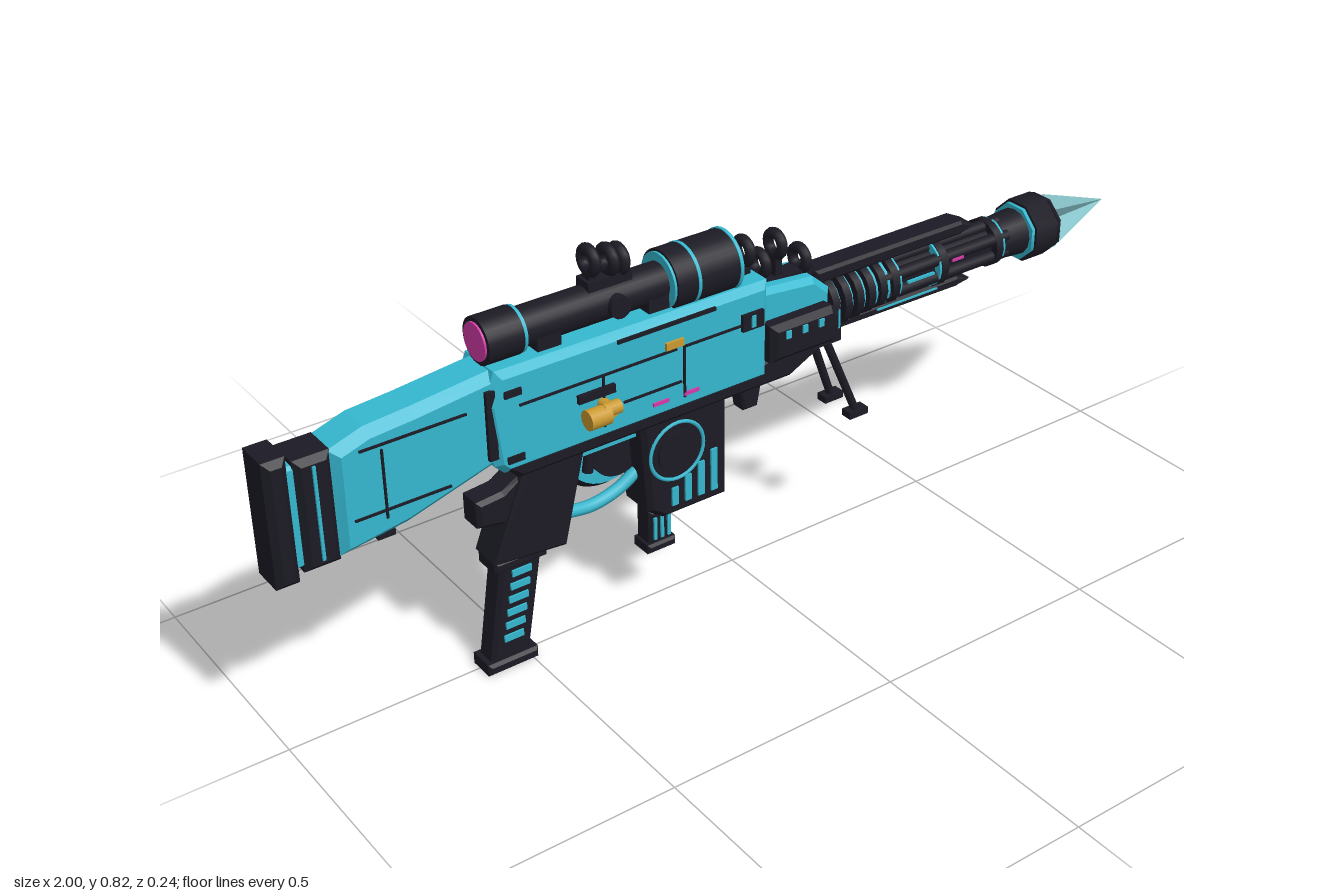
import * as THREE from 'three';
import { toCreasedNormals } from 'three/addons/utils/BufferGeometryUtils.js';

const makeMat = (name, color) => Object.assign(new THREE.MeshStandardMaterial({ color }), { name });

export function createModel() {
  const teal = makeMat('teal shell', 0x35b8cf), black = makeMat('dark polymer', 0x1c1b25);
  const gold = makeMat('gold', 0xcb9a30), pink = makeMat('magenta glass', 0xd43aa8);
  const crystal = makeMat('pale crystal', 0x88c6cc);
  const root = new THREE.Group();
  root.name = 'rifle';
  const CZ = 0.006; // centre plane of the rifle

  function add(name, geo, mat, x = 0, y = 0, z = CZ) {
    const m = new THREE.Mesh(geo, mat);
    m.name = name;
    m.position.set(x, y, z);
    root.add(m);
    return m;
  }
  // Box given by its limits in x and y, and its centre and depth in z
  const box = (name, mat, x0, x1, y0, y1, depth, z = 0) =>
    add(name, new THREE.BoxGeometry(x1 - x0, y1 - y0, depth), mat, (x0 + x1) / 2, (y0 + y1) / 2, z + CZ);
  // Side profile with bevelled edges, half is the half width
  function slab(name, mat, pts, half, bevel = 0.012, z = 0) {
    const shape = new THREE.Shape(pts.map(p => new THREE.Vector2(...p)));
    const geo = new THREE.ExtrudeGeometry(shape, {
      depth: 2 * (half - bevel), bevelEnabled: true, bevelSize: bevel, bevelThickness: bevel,
      bevelOffset: -bevel, bevelSegments: 1 });
    geo.translate(0, 0, bevel - half);
    return add(name, geo, mat, 0, 0, z + CZ);
  }
  const rect = (x0, x1, y0, y1) => [[x0, y0], [x1, y0], [x1, y1], [x0, y1]];
  // Round part along x
  function rod(name, mat, x0, x1, r0, r1, y, z = 0, sides = 24) {
    const geo = new THREE.CylinderGeometry(r1, r0, x1 - x0, sides).rotateZ(-Math.PI / 2);
    return add(name, geo, mat, (x0 + x1) / 2, y, z + CZ);
  }
  // Round part along z
  function disc(name, mat, x, y, z, r, depth, sides = 32) {
    return add(name, new THREE.CylinderGeometry(r, r, depth, sides).rotateX(Math.PI / 2), mat, x, y, z + CZ);
  }
  // Thin painted strip on both sides
  const decal = (name, mat, x0, x1, y0, y1, half) =>
    [-1, 1].forEach(s => box(name, mat, x0, x1, y0, y1, 0.006, s * (half + 0.001)));
  function bar(name, mat, a, b, r) {
    const curve = new THREE.LineCurve3(new THREE.Vector3(...a), new THREE.Vector3(...b));
    return add(name, new THREE.TubeGeometry(curve, 1, r, 8), mat);
  }

  // Stock and butt pad
  slab('buttPad', black, rect(-1, -0.955, 0.375, 0.63), 0.045);
  slab('buttCore', teal, rect(-0.965, -0.93, 0.40, 0.605), 0.034, 0.006);
  slab('buttPlate', black, rect(-0.945, -0.875, 0.39, 0.615), 0.045);
  decal('buttStripe', teal, -0.915, -0.909, 0.41, 0.60, 0.045);
  slab('stock', teal, [[-0.88, 0.395], [-0.74, 0.415], [-0.55, 0.47], [-0.55, 0.66], [-0.72, 0.642],
    [-0.81, 0.635], [-0.88, 0.612]], 0.05, 0.018);
  decal('stockSeam', black, -0.83, -0.62, 0.598, 0.602, 0.05);
  decal('stockSeamLower', black, -0.85, -0.66, 0.465, 0.469, 0.05);
  decal('stockJoint', black, -0.79, -0.786, 0.45, 0.59, 0.05);
  box('stockToe', black, -0.80, -0.765, 0.395, 0.412, 0.06);

  // Receiver
  slab('receiver', teal, [[-0.57, 0.47], [-0.55, 0.45], [0.04, 0.45], [0.04, 0.66], [-0.56, 0.662],
    [-0.585, 0.60]], 0.062, 0.014);
  slab('receiverFront', teal, [[0.0, 0.50], [0.2, 0.50], [0.2, 0.59], [0.16, 0.625], [0.0, 0.64]], 0.05, 0.012);
  slab('lowerFrame', black, [[-0.56, 0.47], [-0.52, 0.43], [0.10, 0.43], [0.18, 0.47], [0.17, 0.49],
    [0.03, 0.49], [0.0, 0.475]], 0.058, 0.01);
  box('rearBand', black, -0.583, -0.565, 0.49, 0.63, 0.118);
  decal('topSeam', black, -0.31, -0.09, 0.641, 0.648, 0.062);
  decal('middleSeam', black, -0.52, -0.18, 0.586, 0.590, 0.062);
  decal('panelTop', black, -0.16, 0.02, 0.586, 0.590, 0.062);
  decal('panelEdge', black, -0.165, -0.161, 0.48, 0.59, 0.062);
  decal('panelEdge', black, -0.345, -0.341, 0.48, 0.586, 0.062);
  decal('panelLower', black, -0.30, -0.17, 0.514, 0.518, 0.062);
  for (const y of [0.475, 0.61]) decal('cornerPin', black, -0.55, -0.515, y, y + 0.014, 0.062);
  for (const x of [-0.235, -0.165]) decal('warningMark', pink, x, x + 0.035, 0.483, 0.490, 0.062);
  decal('goldTab', gold, -0.205, -0.165, 0.593, 0.608, 0.064);

  // Charging handle
  disc('handleStem', gold, -0.345, 0.53, 0.075, 0.012, 0.05, 16);
  rod('handleKnob', gold, -0.40, -0.355, 0.02, 0.02, 0.527, 0.094, 16);
  rod('handleKnobFront', gold, -0.365, -0.33, 0.014, 0.014, 0.535, 0.094, 16);
  box('handleSlot', black, -0.40, -0.32, 0.548, 0.565, 0.012, 0.064);

  // Telescopic sight
  const Y = 0.703;
  rod('scopeTube', black, -0.50, -0.16, 0.038, 0.038, Y);
  rod('scopeEyepiece', black, -0.563, -0.49, 0.046, 0.046, Y);
  rod('scopeBell', black, -0.17, -0.022, 0.06, 0.06, Y, 0, 32);
  for (const [x, r] of [[-0.49, 0.045], [-0.175, 0.055], [-0.125, 0.0612], [-0.029, 0.062]])
    rod('scopeRing', teal, x, x + 0.007, r, r, Y, 0, 32);
  rod('frontLens', pink, -0.03, -0.018, 0.055, 0.055, Y, 0, 32);
  rod('rearLens', pink, -0.567, -0.56, 0.037, 0.037, Y);
  for (const x of [-0.46, -0.22]) box('scopeMount', black, x, x + 0.05, 0.65, 0.71, 0.07);
  disc('scopeDial', black, -0.29, Y, 0, 0.022, 0.10, 16);

  // Ring sights
  function ringSight(x, y, foot, r = 0.022) {
    const geo = new THREE.TorusGeometry(r, 0.011, 10, 20).rotateY(Math.PI / 2);
    add('ringSight', geo, black, x, y);
    box('ringSightPost', black, x - 0.008, x + 0.008, foot, y - r, 0.024);
  }
  ringSight(-0.325, 0.79, 0.73);
  ringSight(-0.285, 0.78, 0.73);
  ringSight(-0.262, 0.775, 0.73);
  ringSight(0.022, 0.706, 0.63);
  ringSight(0.06, 0.668, 0.61);
  ringSight(0.098, 0.698, 0.61);
  ringSight(0.158, 0.65, 0.60);
  box('sightRail', black, -0.34, -0.245, 0.735, 0.755, 0.04);
  box('frontSightRail', black, 0.01, 0.18, 0.618, 0.634, 0.04);

  // Fore block with cooling windows
  slab('foreBlock', black, [[0.03, 0.49], [0.18, 0.49], [0.20, 0.51], [0.20, 0.555], [0.18, 0.57], [0.03, 0.57]],
    0.085, 0.012);
  for (const s of [-1, 1]) {
    box('foreBlockTrim', teal, 0.195, 0.204, 0.512, 0.552, 0.012, s * 0.068);
    box('sideLug', black, -0.03, 0.02, 0.575, 0.61, 0.014, s * 0.062);
    box('sideLugTrim', teal, -0.01, 0.0, 0.58, 0.605, 0.006, s * 0.068);
  }
  for (let i = 0; i < 3; i++) decal('foreWindow', teal, 0.06 + i * 0.04, 0.072 + i * 0.04, 0.54, 0.556, 0.085);

  // Barrel collars, barrel cluster and rails
  const B = 0.54;
  rod('barrelCore', black, 0.18, 0.76, 0.034, 0.034, B);
  for (let i = 0; i < 5; i++) {
    const x = 0.2 + i * 0.032;
    rod('collar', black, x, x + 0.017, 0.06 - i * 0.002, 0.06 - i * 0.002, B, 0, 16);
    rod('collarGap', teal, x + 0.017, x + 0.025, 0.05, 0.05, B, 0, 16);
  }
  for (let i = 0; i < 6; i++) {
    const a = (i + 0.5) * Math.PI / 3;
    rod('barrelTube', black, 0.33, 0.68, 0.014, 0.014, B + 0.037 * Math.sin(a), 0.037 * Math.cos(a), 10);
  }
  for (const x of [0.36, 0.49, 0.64]) rod('barrelBand', black, x, x + 0.018, 0.052, 0.052, B, 0, 16);
  for (const x of [0.379, 0.485, 0.66]) rod('barrelBandTrim', teal, x, x + 0.005, 0.05, 0.05, B, 0, 16);
  decal('barrelSlit', teal, 0.40, 0.47, 0.538, 0.543, 0.046);
  decal('barrelMark', pink, 0.52, 0.55, 0.55, 0.556, 0.044);
  slab('topRail', black, [[0.18, 0.592], [0.56, 0.592], [0.595, 0.605], [0.56, 0.622], [0.18, 0.622]], 0.028, 0.006);
  slab('bottomRail', black, [[0.19, 0.475], [0.56, 0.472], [0.595, 0.481], [0.56, 0.494], [0.19, 0.494]], 0.024, 0.005);
  decal('bottomRailLine', teal, 0.34, 0.5, 0.486, 0.489, 0.024);

  // Muzzle and crystal spike
  rod('muzzleNeck', black, 0.67, 0.75, 0.046, 0.052, B, 0, 16);
  const turn = m => (m.rotation.x = Math.PI / 8, m);
  turn(rod('muzzle', black, 0.74, 0.80, 0.068, 0.068, B, 0, 8));
  turn(rod('muzzleTrim', teal, 0.732, 0.742, 0.062, 0.062, B, 0, 8));
  turn(rod('muzzleTrimFront', teal, 0.798, 0.804, 0.063, 0.063, B, 0, 8));
  turn(rod('muzzleLip', black, 0.803, 0.812, 0.066, 0.064, B, 0, 8));
  let spike = new THREE.ConeGeometry(0.063, 0.185, 16, 1);
  const p = spike.attributes.position;
  for (let i = 0; i < p.count; i++) { // pull every second corner in to make a star
    const k = Math.round(Math.atan2(p.getX(i), p.getZ(i)) / (Math.PI / 8));
    if (k % 2) p.setXYZ(i, p.getX(i) * 0.42, p.getY(i), p.getZ(i) * 0.42);
  }
  spike = toCreasedNormals(spike.rotateZ(-Math.PI / 2), 0.1);
  add('crystalSpike', spike, crystal, 0.9045, B);

  // Pistol grip
  slab('gripFrame', black, [[-0.50, 0.44], [-0.37, 0.44], [-0.42, 0.235], [-0.575, 0.25]], 0.045, 0.01);
  slab('grip', black, [[-0.555, 0.25], [-0.465, 0.25], [-0.505, 0.02], [-0.59, 0.02]], 0.027, 0.008);
  slab('gripFoot', black, rect(-0.60, -0.49, 0.0, 0.025), 0.033, 0.006);
  slab('gripCollar', black, rect(-0.573, -0.46, 0.225, 0.25), 0.034, 0.006);
  for (let i = 0; i < 6; i++) {
    const y = 0.065 + i * 0.028, x = -0.545 + (y - 0.065) * 0.18;
    decal('gripSlot', teal, x - 0.017, x + 0.025, y, y + 0.014, 0.027);
  }
  slab('gripSpur', black, [[-0.60, 0.335], [-0.52, 0.32], [-0.50, 0.42], [-0.545, 0.395], [-0.60, 0.39]], 0.03, 0.008);

  // Trigger and guard
  const guard = new THREE.CatmullRomCurve3([[-0.405, 0.28], [-0.34, 0.272], [-0.28, 0.285], [-0.235, 0.31]]
    .map(([x, y]) => new THREE.Vector3(x, y, 0)));
  add('triggerGuard', new THREE.TubeGeometry(guard, 16, 0.013, 8), teal);
  bar('trigger', black, [-0.33, 0.44, 0], [-0.345, 0.35, 0], 0.011);
  box('triggerHousing', teal, -0.38, -0.25, 0.405, 0.435, 0.05);

  // Box magazine
  slab('magazine', black, [[-0.25, 0.45], [-0.05, 0.45], [-0.05, 0.21], [-0.2, 0.21], [-0.235, 0.235]], 0.046, 0.01);
  add('magazineRing', new THREE.TorusGeometry(0.062, 0.004, 6, 36), teal, -0.17, 0.355, CZ + 0.046);
  disc('magazineDial', black, -0.17, 0.355, 0.047, 0.045, 0.008);
  for (let i = 0; i < 4; i++)
    decal('magazineSlot', teal, -0.185 + i * 0.031, -0.17 + i * 0.031, 0.235, 0.275 + i * 0.018, 0.046);
  slab('magazineStem', black, rect(-0.222, -0.168, 0.145, 0.22), 0.024, 0.006);
  slab('magazineFoot', black, rect(-0.228, -0.162, 0.125, 0.145), 0.028, 0.005);
  for (let i = 0; i < 3; i++)
    decal('stemSlot', teal, -0.214 + i * 0.016, -0.207 + i * 0.016, 0.155, 0.205, 0.024);

  // Drum magazine on the right side of the receiver
  const D = [-0.27, 0.372];
  const profile = [[0, -0.036], [0.096, -0.036], [0.108, -0.026], [0.108, 0.026], [0.096, 0.036], [0, 0.036]];
  const drum = new THREE.LatheGeometry(profile.map(q => new THREE.Vector2(...q)), 40).rotateX(Math.PI / 2);
  add('drum', toCreasedNormals(drum, 0.5), black, ...D, -0.08);
  disc('drumFace', teal, ...D, -0.122, 0.068, 0.008);
  disc('drumHub', black, ...D, -0.126, 0.022, 0.008);
  disc('drumInnerFace', teal, ...D, -0.047, 0.094, 0.008);
  disc('drumAxle', black, ...D, -0.03, 0.06, 0.05);

  // Under-barrel fittings and bipod
  slab('frontFitting', black, [[0.0, 0.44], [0.06, 0.44], [0.045, 0.365], [0.01, 0.365]], 0.02, 0.005);
  for (const y of [0.40, 0.445]) {
    box('sideFitting', black, -0.01, 0.05, y, y + 0.03, 0.03, -0.05);
    box('sideFittingTrim', teal, 0.05, 0.056, y + 0.006, y + 0.022, 0.02, -0.05);
  }
  box('bipodMount', black, 0.17, 0.235, 0.46, 0.50, 0.08);
  for (const s of [-1, 1]) {
    bar('bipodLeg', black, [0.2, 0.48, s * 0.026], [0.278, 0.285, s * 0.04], 0.009);
    box('bipodFoot', black, 0.255, 0.302, 0.273, 0.288, 0.026, s * 0.04);
  }
  return root;
}
